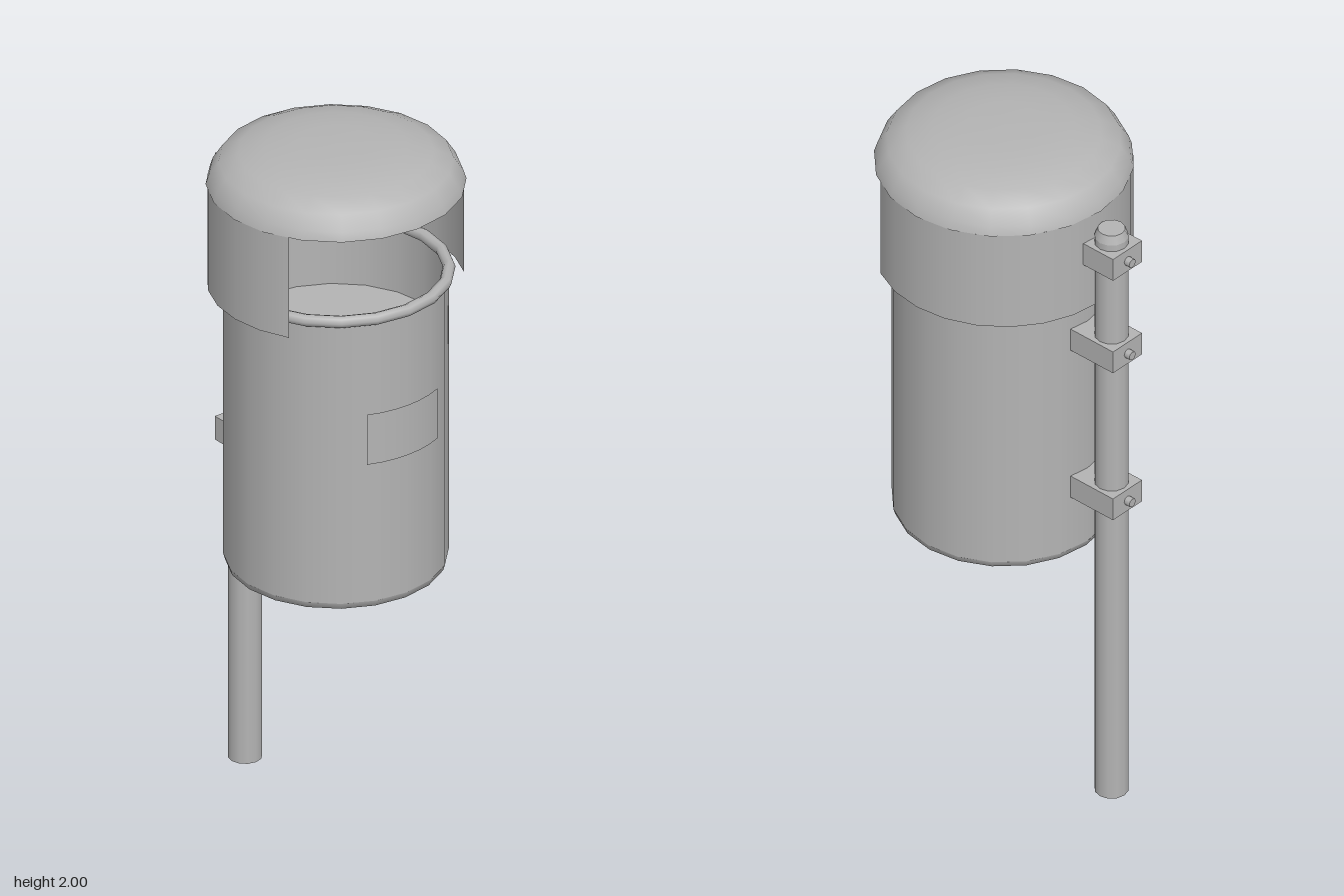
import * as THREE from 'three';

const SIDES = 20;
const BIN_Z = 0.055;   // axis of bin and hood
const POST_Z = -0.33;  // axis of the post

export function createModel() {
  const model = new THREE.Group();
  model.name = 'postMountedLitterBin';
  const grey = new THREE.MeshStandardMaterial({ color: 0xb4b4b4, side: THREE.DoubleSide });
  grey.name = 'grey metal';

  const add = (name, geometry, x, y, z) => {
    const mesh = new THREE.Mesh(geometry, grey);
    mesh.name = name;
    mesh.position.set(x, y, z);
    model.add(mesh);
    return mesh;
  };
  const lathe = (points, sides) =>
    new THREE.LatheGeometry(points.map(([r, y]) => new THREE.Vector2(r, y)), sides);
  const disc = (r, sides) => new THREE.CircleGeometry(r, sides);

  // Bin body: open shell with a rounded foot, base and inner floor
  add('binFoot', lathe([[0.282, 0.752], [0.294, 0.758], [0.299, 0.775]], SIDES), 0, 0, BIN_Z);
  add('binWall', new THREE.CylinderGeometry(0.299, 0.299, 0.847, SIDES, 1, true), 0, 1.1985, BIN_Z);
  const base = add('binBase', disc(0.282, SIDES), 0, 0.752, BIN_Z);
  base.rotation.x = Math.PI / 2;
  const floor = add('innerFloor', disc(0.297, SIDES), 0, 1.42, BIN_Z);
  floor.rotation.x = -Math.PI / 2;

  // Rolled rim
  const rim = add('binRim', new THREE.TorusGeometry(0.3, 0.017, 8, SIDES), 0, 1.622, BIN_Z);
  rim.rotation.x = Math.PI / 2;

  // Curved plate on the front of the bin
  const plateAngle = 0.405;
  const plate = lathe([[0.298, 1.19], [0.305, 1.19], [0.305, 1.19], [0.305, 1.34], [0.305, 1.34], [0.298, 1.34]], 1);
  plate.dispose();
  add('frontPlate', new THREE.CylinderGeometry(0.305, 0.305, 0.15, 6, 1, true, -plateAngle, plateAngle * 2),
    0, 1.265, BIN_Z);

  // Hood skirt wraps the back 240 degrees
  add('hoodSkirt', new THREE.CylinderGeometry(0.343, 0.343, 0.3, 16, 1, true, Math.PI / 3, Math.PI * 4 / 3),
    0, 1.735, BIN_Z);

  // Domed lid
  add('domeLid', lathe([[0.346, 1.885], [0.338, 1.91], [0.312, 1.95], [0.26, 1.975], [0.19, 1.992],
    [0.1, 1.999], [0, 2]], SIDES), 0, 0, BIN_Z);

  // Post: open tube with a bevelled cap
  add('post', new THREE.CylinderGeometry(0.046, 0.046, 1.825, 12, 1, true), 0, 0.9125, POST_Z);
  add('postCapBevel', new THREE.CylinderGeometry(0.037, 0.046, 0.025, 12, 1, true), 0, 1.8375, POST_Z);
  const cap = add('postCapTop', disc(0.037, 12), 0, 1.85, POST_Z);
  cap.rotation.x = -Math.PI / 2;

  // Clamps with bolts: [height, front z]
  for (const [y, front] of [[1.77, -0.275], [1.465, -0.235], [0.98, -0.235]]) {
    const back = -0.387;
    add('clamp', new THREE.BoxGeometry(0.114, 0.07, front - back), 0, y, (front + back) / 2);
    const bolt = add('clampBolt', new THREE.CylinderGeometry(0.013, 0.013, 0.025, 8), 0, y, -0.3925);
    bolt.rotation.x = Math.PI / 2;
  }
  return model;
}
